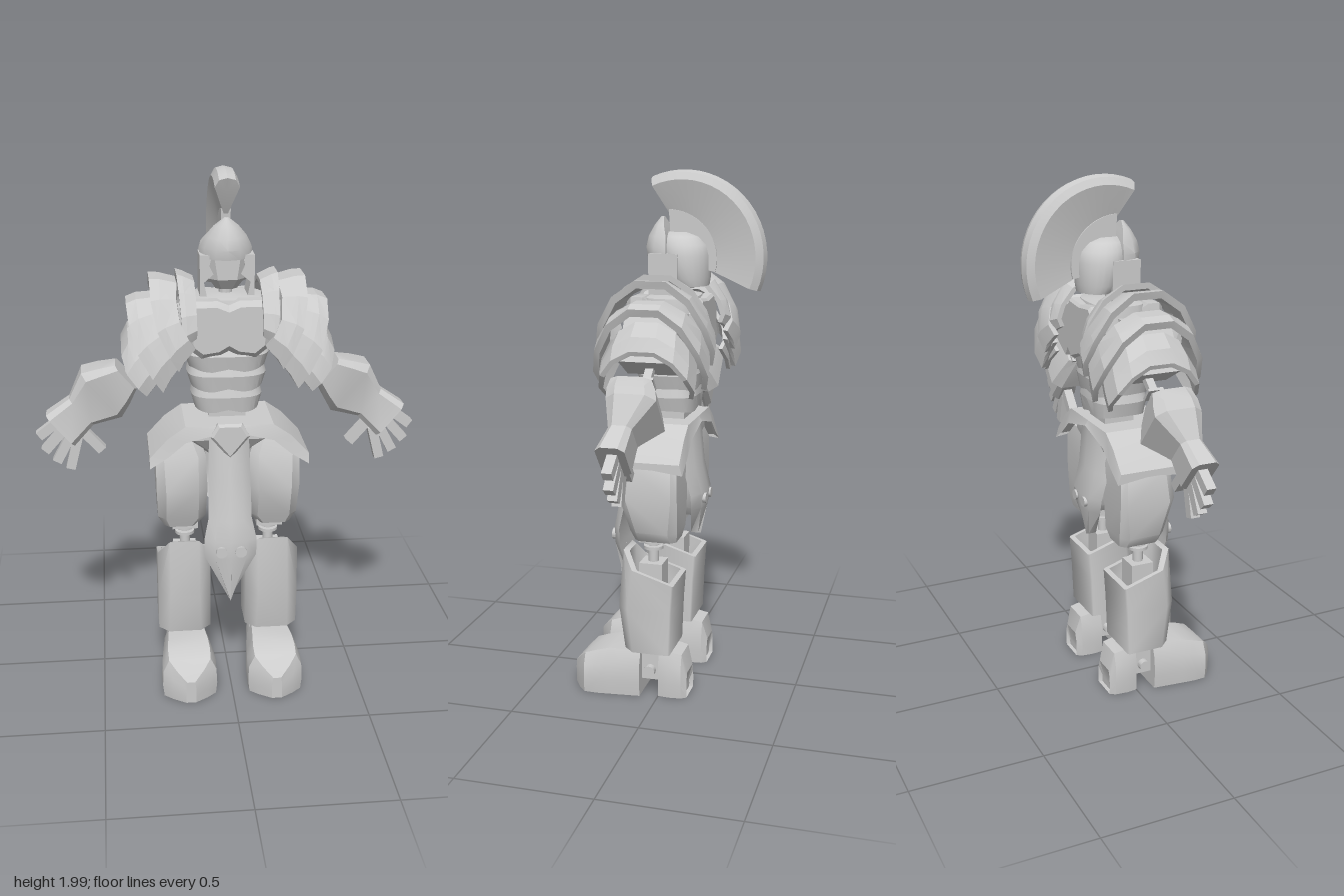
import * as THREE from 'three';
import { toCreasedNormals } from 'three/addons/utils/BufferGeometryUtils.js';

const V = (x, y, z) => new THREE.Vector3(x, y, z);

// Closed skin over a list of equal-length loops, capped at both ends
function loft(loops) {
  const p = [], n = loops[0].length;
  const tri = (...t) => t.forEach(v => p.push(v.x, v.y, v.z));
  for (let i = 0; i < loops.length - 1; i++) for (let j = 0; j < n; j++) {
    const k = (j + 1) % n, A = loops[i], B = loops[i + 1];
    tri(A[j], A[k], B[k]);
    tri(A[j], B[k], B[j]);
  }
  for (const [L, flip] of [[loops[0], true], [loops.at(-1), false]]) {
    const c = L.reduce((s, v) => s.add(v), V(0, 0, 0)).divideScalar(n);
    for (let j = 0; j < n; j++) {
      const a = L[j], b = L[(j + 1) % n];
      flip ? tri(c, b, a) : tri(c, a, b);
    }
  }
  return new THREE.BufferGeometry().setAttribute('position', new THREE.Float32BufferAttribute(p, 3));
}

// Turns a closed geometry so all its faces point outward
function outward(geo) {
  const g = geo.index ? geo.toNonIndexed() : geo, p = g.attributes.position;
  const at = i => V(0, 0, 0).fromBufferAttribute(p, i);
  let vol = 0;
  for (let i = 0; i < p.count; i += 3) vol += at(i).dot(at(i + 1).cross(at(i + 2)));
  if (vol < 0) for (let i = 0; i < p.count; i += 3) {
    const b = at(i + 1), c = at(i + 2);
    p.setXYZ(i + 1, c.x, c.y, c.z);
    p.setXYZ(i + 2, b.x, b.y, b.z);
  }
  return g;
}

// Horizontal rectangle with chamfers c in front and b behind; y may follow a rule of (x, z)
function rect(y, x0, x1, z0, z1, c, b = c) {
  const pts = [[x0 + b, z0], [x1 - b, z0], [x1, z0 + b], [x1, z1 - c], [x1 - c, z1], [x0 + c, z1], [x0, z1 - c], [x0, z0 + b]];
  return pts.map(([x, z]) => V(x, typeof y === 'function' ? y(x, z) : y, z));
}

// Horizontal rounded loop for torso and helmet
function oval(y, rx, zBack, zFront, pow = 0.7, drop = 0) {
  const zc = (zBack + zFront) / 2, rz = (zFront - zBack) / 2;
  return Array.from({ length: 24 }, (_, i) => {
    const a = i / 24 * Math.PI * 2, f = v => Math.sign(v) * Math.abs(v) ** pow;
    const x = rx * f(Math.cos(a));
    return V(x, y - drop * Math.abs(Math.sin(Math.PI * x / 0.13)), zc + rz * f(Math.sin(a)));
  });
}

// Box running from a to b in the front plane
function bar(a, b, w, d, z = 0) {
  const dx = b[0] - a[0], dy = b[1] - a[1];
  return new THREE.BoxGeometry(Math.hypot(dx, dy), w, d).rotateZ(Math.atan2(dy, dx))
    .translate((a[0] + b[0]) / 2, (a[1] + b[1]) / 2, z);
}

function plate(pts, z, depth, bevel = 0) {
  return new THREE.ExtrudeGeometry(new THREE.Shape(pts.map(p => new THREE.Vector2(...p))), {
    depth, bevelEnabled: bevel > 0, bevelSize: bevel, bevelThickness: bevel, bevelOffset: -bevel, bevelSegments: 1
  }).translate(0, 0, z);
}

export function createModel() {
  const model = new THREE.Group();
  const mat = new THREE.MeshStandardMaterial({ color: 0xcccccc });
  const add = (name, geo, crease = 0.5) => {
    const mesh = new THREE.Mesh(toCreasedNormals(outward(geo), crease), mat);
    mesh.name = name;
    model.add(mesh);
  };
  const pair = (name, geo, crease) => {
    add(name + 'Left', geo.clone(), crease);
    add(name + 'Right', geo.clone().scale(-1, 1, 1), crease);
  };
  const disc = (r, h, axis, x, y, z) => {
    const g = new THREE.CylinderGeometry(r, r, h, 16);
    if (axis === 'x') g.rotateZ(Math.PI / 2);
    if (axis === 'z') g.rotateX(Math.PI / 2);
    return g.translate(x, y, z);
  };

  // Head and helmet
  add('neck', new THREE.CylinderGeometry(0.025, 0.025, 0.14, 12).translate(0, 1.54, 0));
  add('face', loft([rect(1.56, -0.04, 0.04, -0.08, 0.05, 0.02), rect(1.6, -0.065, 0.065, -0.09, 0.08, 0.03), rect(1.7, -0.08, 0.08, -0.09, 0.08, 0.03)]));
  add('helmetDome', loft([[1.57, 0.085, -0.135, -0.01], [1.6, 0.097, -0.14, 0.02], [1.68, 0.1, -0.14, 0.05], [1.72, 0.09, -0.13, 0.05],
    [1.75, 0.065, -0.1, 0.04], [1.765, 0.03, -0.06, 0.02]].map(([y, rx, b, f]) => oval(y, rx, b, f, 1))), 0.8);
  add('visor', loft([[1.675, 0.098, 0.005, 0.1], [1.71, 0.096, 0.005, 0.106], [1.75, 0.077, 0.01, 0.096], [1.79, 0.045, 0.025, 0.072], [1.82, 0.008, 0.035, 0.047]]
    .map(([y, w, b, f]) => [[-w, b], [0, b], [w, b], [w * 0.85, b + (f - b) * 0.5], [w * 0.45, b + (f - b) * 0.87], [0, f], [-w * 0.45, b + (f - b) * 0.87], [-w * 0.85, b + (f - b) * 0.5]]
      .map(([x, z]) => V(x, y, z)))), 0.7);
  pair('cheekGuard', plate([[0.1, 1.69], [0.1, 1.54], [0.075, 1.54], [0.085, 1.59], [0.05, 1.62], [0.065, 1.65], [0.055, 1.69]], -0.04, 0.11));

  // Crest fanning over the head
  const crest = [];
  for (let i = 0; i <= 20; i++) {
    const t = i / 20, ao = (76 + 120 * t) * Math.PI / 180, ai = (86 + 104 * t) * Math.PI / 180;
    const at = (x, r, a) => V(x, 1.65 + r * Math.sin(a), r * Math.cos(a));
    const r = 0.325 + 0.02 * t + 0.027 * Math.sin(Math.PI * t), ri = 0.18 - 0.03 * t;
    crest.push([at(-0.008, ri, ai), at(-0.045, r - 0.035, ao), at(-0.03, r - 0.008, ao), at(0, r, ao), at(0.03, r - 0.008, ao), at(0.045, r - 0.035, ao), at(0.008, ri, ai)]);
  }
  add('crest', loft(crest));
  add('crestHolder', loft(crest.map(L => [L[0], L[6]].flatMap(v => {
    const s = Math.sign(v.x), k = V(0, v.y - 1.65, v.z);
    const q = f => V(s * 0.018, 1.65 + k.y * f, k.z * f);
    return s < 0 ? [q(0.6), q(1.1)] : [q(1.1), q(0.6)];
  }))));

  // Torso: chest, breast plates and overlapping waist bands
  add('chest', loft([oval(1.31, 0.13, -0.1, 0.09), oval(1.36, 0.145, -0.115, 0.11), oval(1.46, 0.15, -0.12, 0.12), oval(1.53, 0.14, -0.1, 0.1), oval(1.54, 0.06, -0.07, 0.05)]));
  pair('breastPlate', plate([[-0.02, 1.36], [0.03, 1.33], [0.1, 1.32], [0.15, 1.36], [0.155, 1.46], [0.145, 1.535], [0.04, 1.535], [-0.02, 1.51]], 0.08, 0.045, 0.02));
  [[1.35, 1.275, 0.16, 0.135], [1.28, 1.195, 0.15, 0.125], [1.2, 1.11, 0.135, 0.115]].forEach(([top, bottom, w, d], i) =>
    add('waistBand' + (i + 1), loft([oval(bottom, w * 0.9, -d * 0.85, d * 0.92, 0.65, 0.012), oval(bottom + 0.05, w, -d * 0.92, d, 0.65),
      oval(top, w * 0.93, -d * 0.85, d * 0.9, 0.65)]), 0.35));
  pair('backPlate', plate([[-0.01, 1.33], [0.08, 1.3], [0.14, 1.35], [0.14, 1.48], [0.09, 1.53], [-0.01, 1.52]], -0.125, 0.03, 0.01));
  add('waist', new THREE.BoxGeometry(0.14, 0.14, 0.12).translate(0, 1.08, 0));
  add('pelvis', loft([rect(0.9, -0.05, 0.05, -0.06, 0.06, 0.02), rect(1.0, -0.15, 0.15, -0.09, 0.13, 0.02), rect(1.05, -0.15, 0.15, -0.09, 0.13, 0.02)]));

  // Shoulder plates: bowed arches over the arm, each edge given by top and bottom points and depth
  const arch = [[-0.93, -0.1], [-1, 0.1], [-0.9, 0.42], [-0.64, 0.78], [-0.26, 1], [0.26, 1], [0.64, 0.78], [0.9, 0.42], [1, 0.1], [0.93, -0.1]];
  const bands = [
    [[0.12, 1.595], [0.12, 1.43], [0.185, 1.622], [0.17, 1.4], 0.2],
    [[0.185, 1.592], [0.14, 1.4], [0.285, 1.61], [0.205, 1.33], 0.225],
    [[0.27, 1.54], [0.18, 1.36], [0.37, 1.52], [0.265, 1.25], 0.215],
    [[0.32, 1.47], [0.23, 1.31], [0.392, 1.375], [0.32, 1.215], 0.178]];
  bands.forEach(([it, ib, ot, ob, d], i) => {
    const edge = (top, bot, dz, [z, h], k) => V(bot[0] + (top[0] - bot[0]) * h * k + 0.025 * Math.sin(Math.PI * h) * (i > 0),
      bot[1] + (top[1] - bot[1]) * h * k, 0.012 + z * dz * k);
    pair('shoulderPlate' + (i + 1), loft(arch.map(p => {
      const a = edge(it, ib, d * 0.92, p, 1), b = edge(ot, ob, d, p, 1), c = edge(ot, ob, d, p, 0.9), e = edge(it, ib, d * 0.92, p, 0.9);
      const bulge = V(0.008, 0.006 * p[1], 0.006 * p[0]);
      return [a, a.clone().lerp(b, 0.55).add(bulge), b, c, c.clone().lerp(e, 0.45).add(bulge), e];
    })), 0.3);
  });

  // Arms
  pair('shoulderJoint', bar([0.1, 1.45], [0.25, 1.45], 0.08, 0.08));
  pair('upperArm', bar([0.2, 1.47], [0.295, 1.3], 0.13, 0.2, 0.01));
  pair('elbowRod', bar([0.28, 1.3], [0.4, 1.2], 0.025, 0.03, 0.01));
  for (const [i, x] of [0.33, 0.352].entries()) pair('elbowDisc' + i, bar([x, 1.256 - (x - 0.33)], [x + 0.009, 1.249 - (x - 0.33)], 0.06, 0.06, 0.01));
  const d = [0.77, -0.64], n = [0.64, 0.77];
  pair('forearm', loft([[-0.12, 0.06, -0.03, 0.12], [-0.06, 0.09, -0.06, 0.115], [0, 0.114, -0.08, 0.1], [0.1, 0.068, -0.01, 0.075], [0.205, 0.08, -0.01, 0.095]]
    .map(([t, h, z0, z1]) => {
      const m = (z1 - z0) * 0.2;
      return [[-h, z0 + m], [-h * 0.75, z0], [h * 0.75, z0], [h, z0 + m], [h, z1 - m], [h * 0.75, z1], [-h * 0.75, z1], [-h, z1 - m]]
        .map(([u, z]) => V(0.47 + d[0] * t + n[0] * u, 1.17 + d[1] * t + n[1] * u, z));
    })));
  [[[0.565, 1.0], [0.597, 0.875]], [[0.59, 1.01], [0.647, 0.905]], [[0.61, 1.04], [0.69, 0.95]], [[0.63, 1.07], [0.71, 1.01]], [[0.54, 1.02], [0.475, 0.945]]]
    .forEach(([a, b], i) => pair(i < 4 ? 'finger' + (i + 1) : 'thumb', bar(a, b, 0.036, 0.036, 0.037)));

  // Hip skirt, belt plate and hanging panels
  pair('hipPlate', loft([[0, 1.07, 0], [0.165, 1.07, 0.04], [0.23, 1.025, 0.05], [0.3, 0.95, 0.02]].map(([x, y, s]) =>
    [[0.175, -s - 0.02], [0.165, 0], [-0.1, 0], [-0.112, -s - 0.02], [-0.09, -0.025], [0.15, -0.025]].map(([z, dy]) => V(x, y + dy, z)))));
  add('beltPlate', plate([[-0.075, 1.03], [-0.045, 1.08], [0.045, 1.08], [0.075, 1.03], [0, 0.94]], 0.155, 0.02, 0.01));
  const panel = (rows, s) => loft(rows.map(([y, w, z]) =>
    [[-w, z - s * 0.04], [-w * 0.6, z - s * 0.01], [0, z], [w * 0.6, z - s * 0.01], [w, z - s * 0.04], [0, z - s * 0.035]].map(([x, zz]) => V(x, y, zz))));
  add('frontPanel', panel([[1.04, 0.075, 0.17], [0.85, 0.08, 0.195], [0.7, 0.083, 0.22], [0.62, 0.1, 0.234], [0.55, 0.1, 0.232], [0.36, 0.003, 0.212]], 1), 0.6);
  add('backPanel', panel([[1.04, 0.13, -0.1], [0.88, 0.13, -0.115], [0.78, 0.125, -0.14], [0.72, 0.1, -0.135], [0.6, 0.003, -0.11]], -1), 0.6);
  pair('frontBolt', disc(0.022, 0.03, 'z', 0.037, 0.58, 0.222));
  pair('backBolt', disc(0.02, 0.025, 'z', 0.04, 0.757, -0.13));

  // Legs
  pair('thigh', loft([rect(0.63, 0.12, 0.245, -0.07, 0.09, 0.02), rect(0.67, 0.085, 0.27, -0.078, 0.105, 0.03), rect(0.8, 0.08, 0.275, -0.08, 0.15, 0.035, 0.02),
    rect(0.93, 0.085, 0.275, -0.08, 0.125, 0.03, 0.02), rect(0.985, 0.105, 0.235, -0.07, 0.105, 0.03)]), 0.7);
  pair('thighEnd', new THREE.BoxGeometry(0.1, 0.04, 0.1).translate(0.165, 0.635, 0.03));
  pair('kneeRod', disc(0.02, 0.2, 'y', 0.165, 0.57, 0.035));
  pair('kneeDiscLower', disc(0.038, 0.012, 'y', 0.165, 0.587, 0.035));
  pair('kneeDiscUpper', disc(0.035, 0.012, 'y', 0.165, 0.608, 0.035));
  pair('shinCore', new THREE.BoxGeometry(0.09, 0.34, 0.09).translate(0.165, 0.36, 0.035));
  const slope = (x, z) => 0.47 + 0.045 * (z + 0.07) / 0.14 + (z > 0.11 ? 0.05 : 0);
  pair('shin', loft([rect(0.19, 0.07, 0.275, -0.055, 0.13, 0.04, 0.006), rect(0.36, 0.07, 0.275, -0.062, 0.155, 0.045, 0.006), rect(slope, 0.07, 0.275, -0.07, 0.135, 0.045, 0.006),
    rect(slope, 0.088, 0.257, -0.052, 0.115, 0.04, 0.005), rect(0.4, 0.088, 0.257, -0.05, 0.115, 0.04, 0.005)]), 0.85);

  // Feet
  const step = rows => loft(rows.map(([z, h, w]) =>
    [[-0.95, 0], [-1, 0.3], [-0.97, 0.7], [-0.76, 1], [0.76, 1], [0.97, 0.7], [1, 0.3], [0.95, 0]].map(([x, y]) => V(0.167 + x * w, y * h, z))));
  pair('toe', step([[0.07, 0.18, 0.09], [0.19, 0.185, 0.103], [0.24, 0.172, 0.108], [0.29, 0.155, 0.106], [0.32, 0.125, 0.07], [0.35, 0.09, 0.02]]));
  pair('heel', step([[0.0, 0.18, 0.07], [-0.04, 0.185, 0.075], [-0.09, 0.175, 0.07], [-0.11, 0.1, 0.055], [-0.095, 0.04, 0.05]]));
  pair('ankle', new THREE.BoxGeometry(0.1, 0.14, 0.12).translate(0.167, 0.13, 0.035));
  pair('anklePin', disc(0.022, 0.15, 'x', 0.167, 0.1, 0.035));
  return model;
}
